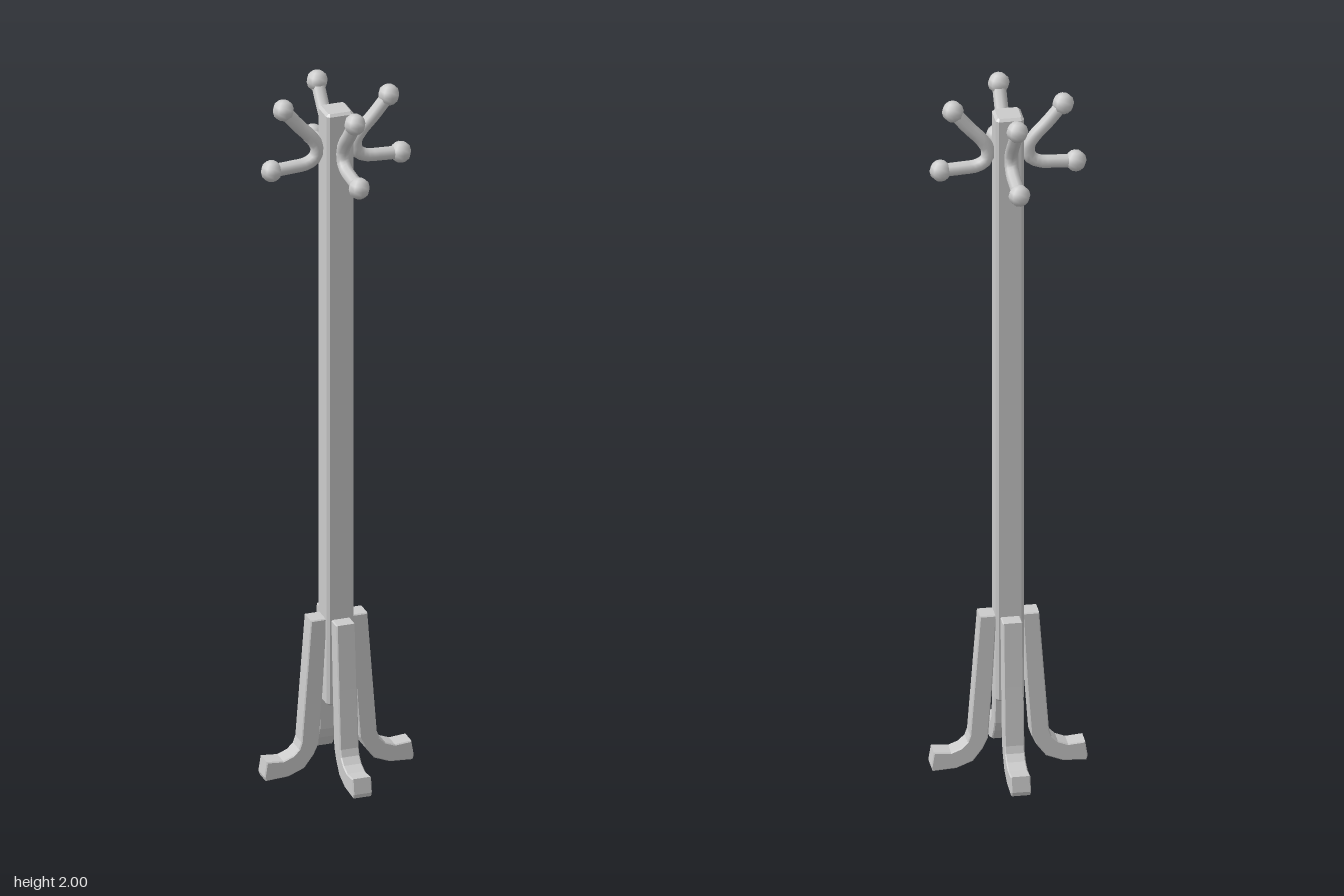
import * as THREE from 'three';

const flat = new THREE.MeshStandardMaterial({ color: 0xcccccc, flatShading: true });
const smooth = new THREE.MeshStandardMaterial({ color: 0xcccccc });

// Extrude an outline with a small chamfer, keeping the outline's full size
function chamfered(points, depth, bevel) {
  const shape = new THREE.Shape(points.map(([x, y]) => new THREE.Vector2(x, y)));
  const geo = new THREE.ExtrudeGeometry(shape, {
    depth: depth - 2 * bevel, bevelEnabled: true, bevelSegments: 1,
    bevelSize: bevel, bevelThickness: bevel, bevelOffset: -bevel,
  });
  return geo.translate(0, 0, bevel);
}

function add(parent, name, geometry, material) {
  const mesh = new THREE.Mesh(geometry, material);
  mesh.name = name;
  parent.add(mesh);
  return mesh;
}

export function createModel() {
  const model = new THREE.Group();
  model.name = 'coatStand';

  // Square post with cut corners and chamfered ends
  const h = 0.039, c = 0.031;
  const section = [[h, -c], [h, c], [c, h], [-c, h], [-h, c], [-h, -c], [-c, -h], [c, -h]];
  const post = chamfered(section, 1.755, 0.007);
  post.rotateX(-Math.PI / 2).translate(0, 0.2, 0);
  add(model, 'post', post, flat);

  // Leg outline: leans outward, then curls into a foot
  const legWidth = 0.054;
  const leg = chamfered([
    [0.036, 0.456], [0.047, 0.25], [0.059, 0.088], [0.073, 0.058], [0.1, 0.022],
    [0.145, 0.004], [0.21, 0], [0.214, 0.012], [0.207, 0.056], [0.16, 0.052],
    [0.132, 0.063], [0.115, 0.08], [0.108, 0.1], [0.095, 0.27], [0.081, 0.456],
  ], legWidth, 0.003);
  leg.translate(0, 0, -legWidth / 2);

  // Double hook: one bent rod from the upper knob to the lower knob
  const upper = new THREE.Vector3(0.151, 1.972, 0);
  const lower = new THREE.Vector3(0.185, 1.797, 0);
  const bend = [[0.11, 1.922], [0.07, 1.878], [0.055, 1.85], [0.06, 1.82], [0.085, 1.804], [0.125, 1.8]];
  const path = new THREE.CatmullRomCurve3(
    [upper, ...bend.map(([x, y]) => new THREE.Vector3(x, y, 0)), lower]);
  const rod = new THREE.TubeGeometry(path, 20, 0.019, 8);
  const knob = new THREE.SphereGeometry(0.03, 8, 6);

  // Four legs and four double hooks around the post
  for (let i = 0; i < 4; i++) {
    const side = new THREE.Group();
    side.name = 'side' + (i + 1);
    side.rotation.y = i * Math.PI / 2;
    add(side, 'leg', leg, flat);
    add(side, 'hookRod', rod, smooth);
    add(side, 'upperKnob', knob, smooth).position.copy(upper);
    add(side, 'lowerKnob', knob, smooth).position.copy(lower);
    model.add(side);
  }
  return model;
}
